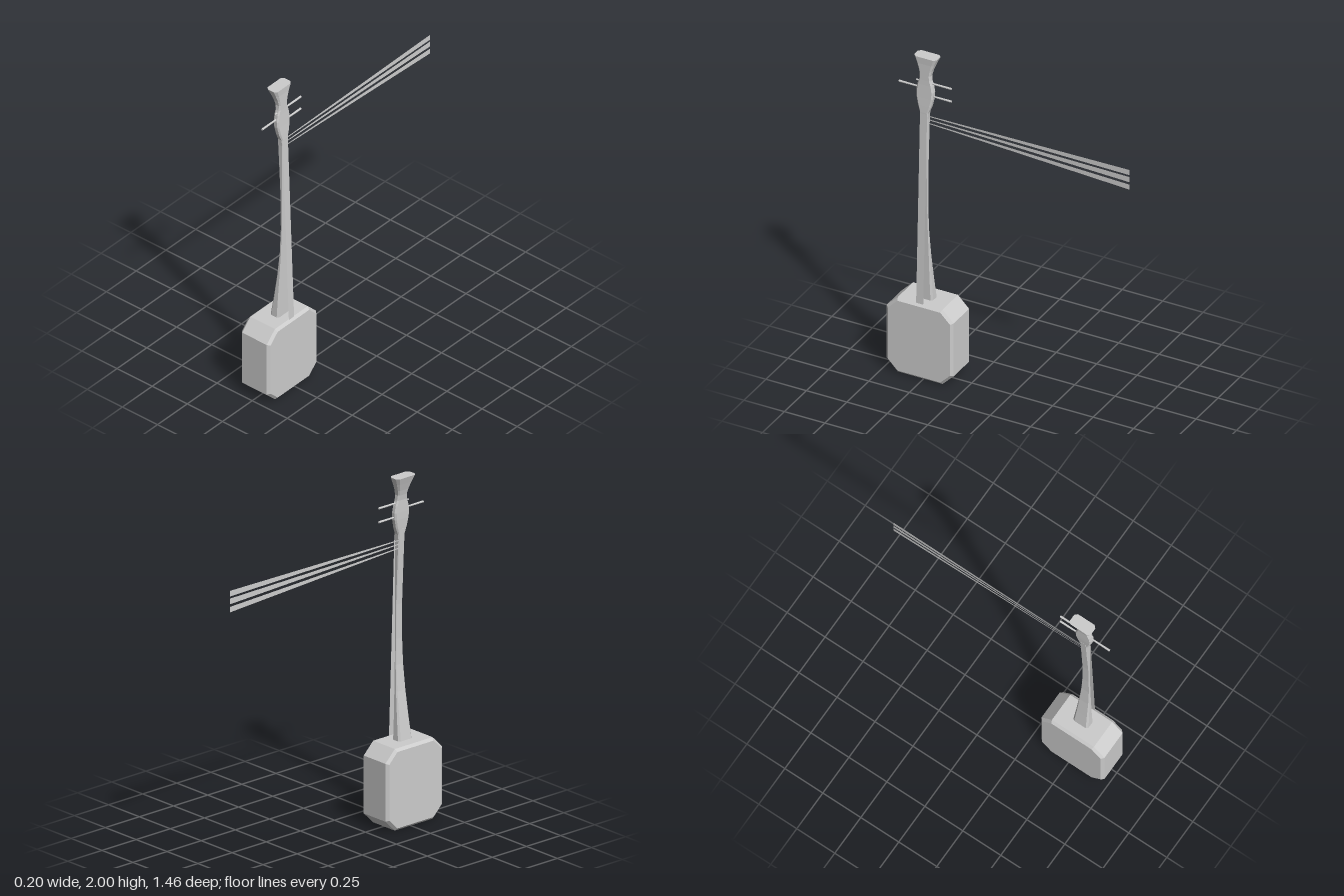
import * as THREE from 'three';

const grey = new THREE.MeshStandardMaterial({ color: 0xcccccc, flatShading: true });
grey.name = 'plain grey';
const greySheet = grey;
grey.side = THREE.DoubleSide;
const CZ = 0.524; // centre line of the instrument in z

function add(group, name, geometry) {
  const mesh = new THREE.Mesh(geometry, greySheet);
  mesh.name = name;
  group.add(mesh);
  return mesh;
}

// Loft of chamfered rectangles; each row is [y, xMin, xMax, halfDepth]
function loft(rows) {
  const pos = [], idx = [];
  rows.forEach(([y, x0, x1, h]) => {
    const c = Math.min(x1 - x0, h) * 0.22;
    [[x1, h - c], [x1, c - h], [x1 - c, -h], [x0 + c, -h], [x0, c - h], [x0, h - c], [x0 + c, h], [x1 - c, h]]
      .forEach(([x, z]) => pos.push(x, y, CZ + z));
  });
  for (let r = 0; r < rows.length - 1; r++) {
    for (let i = 0; i < 8; i++) {
      const a = r * 8 + i, b = r * 8 + (i + 1) % 8;
      idx.push(a, b, b + 8, a, b + 8, a + 8);
    }
  }
  const top = (rows.length - 1) * 8;
  for (let i = 1; i < 7; i++) idx.push(0, i + 1, i, top, top + i, top + i + 1);
  const g = new THREE.BufferGeometry();
  g.setAttribute('position', new THREE.Float32BufferAttribute(pos, 3));
  g.setIndex(idx);
  const flat = g.toNonIndexed();
  flat.computeVertexNormals();
  return flat;
}

// Flat four-cornered sheet
function sheet(corners) {
  const g = new THREE.BufferGeometry();
  g.setAttribute('position', new THREE.Float32BufferAttribute(corners.flat(), 3));
  g.setIndex([0, 1, 2, 0, 2, 3]);
  g.computeVertexNormals();
  return g;
}

export function createModel() {
  const model = new THREE.Group();
  model.name = 'longNeckedLute';

  // Sound box: clipped-corner block with bevelled skins
  const bevel = 0.015, w = 0.207 - bevel, h = 0.2365 - bevel, c = 0.06;
  const outline = new THREE.Shape([
    [w, c - h], [w, h - c], [w - c, h], [c - w, h], [-w, h - c], [-w, c - h], [c - w, -h], [w - c, -h],
  ].map(([x, y]) => new THREE.Vector2(x, y)));
  const box = new THREE.ExtrudeGeometry(outline, {
    depth: 0.205 - 2 * bevel, bevelEnabled: true, bevelSegments: 1, bevelSize: bevel, bevelThickness: bevel,
  });
  box.translate(0, 0, -(0.205 - 2 * bevel) / 2);
  box.rotateY(Math.PI / 2);
  add(model, 'soundBox', box).position.set(-0.002, 0.2375, 0.522);

  // Neck, flaring into the sound box
  add(model, 'neck', loft([
    [0.46, -0.028, 0.035, 0.05], [0.6, -0.008, 0.036, 0.042], [0.75, 0.012, 0.037, 0.034],
    [0.9, 0.025, 0.039, 0.027], [1.05, 0.029, 0.041, 0.023], [1.25, 0.027, 0.042, 0.022],
    [1.5, 0.014, 0.045, 0.022], [1.69, 0.004, 0.042, 0.022],
  ]));

  // Peg head with a waist and flared tip
  add(model, 'head', loft([
    [1.62, 0.01, 0.044, 0.022], [1.66, 0.007, 0.044, 0.025], [1.70, 0.004, 0.042, 0.04], [1.75, 0.001, 0.039, 0.051],
    [1.79, 0, 0.037, 0.053], [1.83, 0, 0.035, 0.046], [1.86, 0, 0.034, 0.036], [1.89, -0.004, 0.034, 0.033],
    [1.92, -0.011, 0.034, 0.039], [1.96, -0.023, 0.034, 0.053], [2.0, -0.036, 0.036, 0.07],
  ]));

  // Tuning pegs: [height, outer z, inner z]
  for (const [y, outer, inner] of [[1.843, 0.365, 0.582], [1.763, 0.365, 0.52], [1.803, 0.69, 0.52]]) {
    const peg = new THREE.CylinderGeometry(0.0045, 0.0065, Math.abs(outer - inner), 8);
    peg.rotateX(outer > inner ? -Math.PI / 2 : Math.PI / 2);
    add(model, 'tuningPeg', peg).position.set(0.019, y, (outer + inner) / 2);
  }

  // String band running down to the sound box
  add(model, 'stringBand', sheet([
    [0.088, 0.47, CZ + 0.022], [0.088, 0.47, CZ - 0.022],
    [0.043, 1.68, CZ - 0.022], [0.043, 1.68, CZ + 0.022],
  ]));

  // Three ribbons streaming away from the neck: [start y, end low, end high]
  for (const [y, low, high] of [[1.625, 1.61, 1.643], [1.603, 1.565, 1.598], [1.58, 1.518, 1.55]]) {
    add(model, 'ribbon', sheet([
      [0.012, y - 0.003, 0.51], [0.012, low, -0.73], [0.012, high, -0.73], [0.012, y + 0.003, 0.51],
    ]));
  }
  return model;
}
